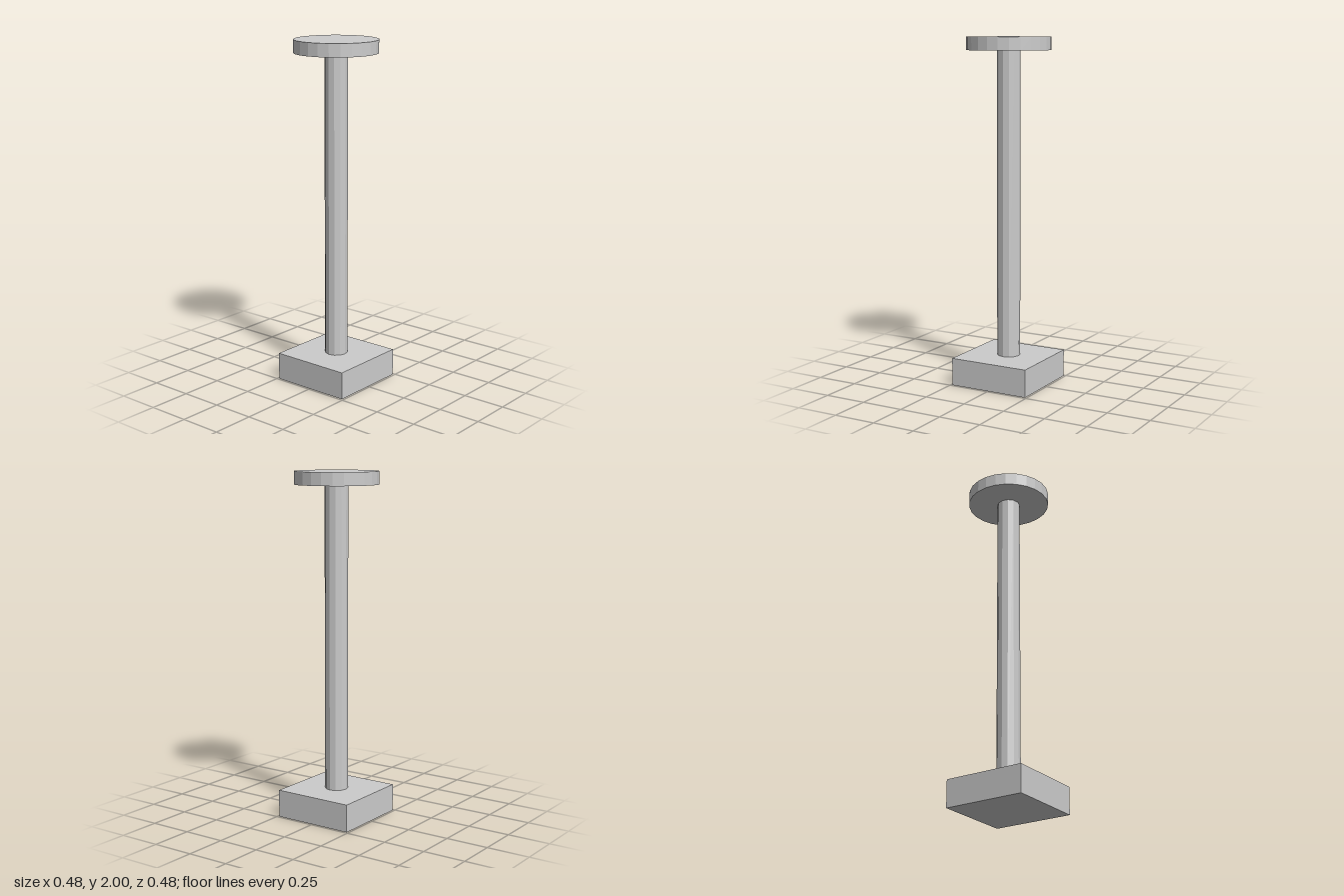
import * as THREE from 'three';

export function createModel() {
  const group = new THREE.Group();
  const grey = new THREE.MeshStandardMaterial({ color: 0xcccccc, flatShading: true });
  grey.name = 'light grey';

  // Adds a part resting at the given height
  const add = (name, geometry, bottom, height) => {
    const mesh = new THREE.Mesh(geometry, grey);
    mesh.name = name;
    mesh.position.y = bottom + height / 2;
    group.add(mesh);
  };

  const width = 0.48, baseHeight = 0.16, discHeight = 0.075;
  const postHeight = 2 - baseHeight - discHeight;

  // Square foot, twelve-sided post, round top
  add('base', new THREE.BoxGeometry(width, baseHeight, width), 0, baseHeight);
  add('post', new THREE.CylinderGeometry(0.067, 0.067, postHeight, 12), baseHeight, postHeight);
  add('topDisc', new THREE.CylinderGeometry(width / 2, width / 2, discHeight, 24), 2 - discHeight, discHeight);

  return group;
}
